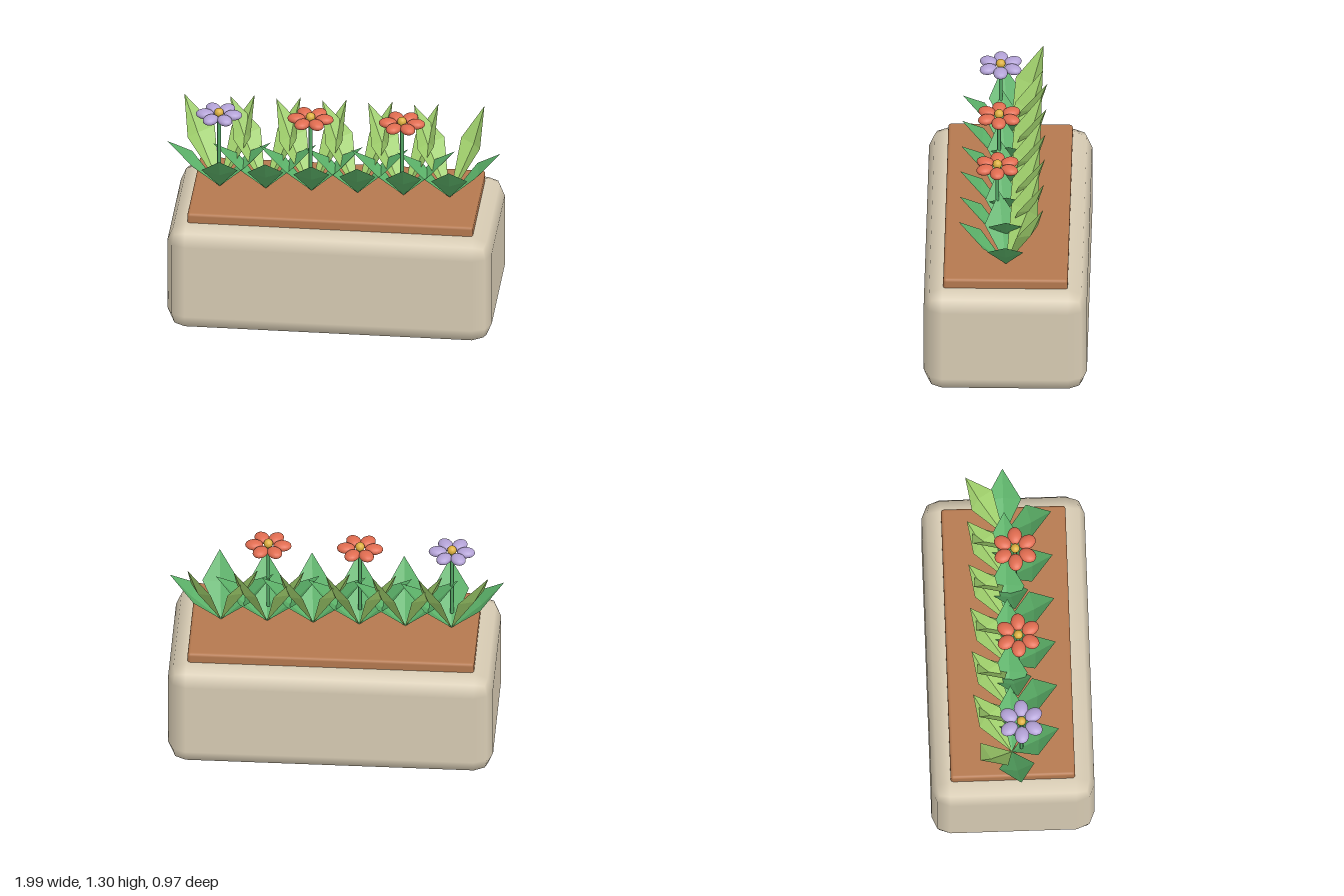
import * as THREE from 'three';
import { RoundedBoxGeometry } from 'three/addons/geometries/RoundedBoxGeometry.js';

const material = (name, color, extra = {}) => {
  const m = new THREE.MeshStandardMaterial({ color, ...extra });
  m.name = name;
  return m;
};

// Folded kite leaf growing from the origin: two side corners, a tip and a keel
function leafGeometry(sideA, sideB, tip, keel) {
  const base = [0, 0, 0];
  const g = new THREE.BufferGeometry();
  const corners = [base, keel, sideA, base, sideB, keel, sideA, keel, tip, keel, sideB, tip];
  g.setAttribute('position', new THREE.Float32BufferAttribute(corners.flat(), 3));
  g.computeVertexNormals();
  return g;
}

// Low leaf spreading outwards towards (tipX, tipZ)
function lowLeaf(tipX, tipZ) {
  const r = Math.hypot(tipX, tipZ), dx = tipX / r, dz = tipZ / r;
  const at = (out, y, across) => [dx * out * r - dz * across, y, dz * out * r + dx * across];
  return leafGeometry(at(0.51, 0.183, 0.107), at(0.51, 0.183, -0.107), at(1, 0.31, 0), at(0.575, 0.158, 0));
}

export function createModel() {
  const model = new THREE.Group();
  model.name = 'flowerPlanter';

  const stone = material('beige stone', 0xd8ccb4);
  const earth = material('brown soil', 0xb5794f);
  const green = material('leaf green', 0x5cb269, { flatShading: true, side: THREE.DoubleSide });
  const lime = material('light leaf green', 0xa0d06c, { flatShading: true, side: THREE.DoubleSide });
  const stemGreen = material('stem green', 0x55a866);
  const purple = material('purple petal', 0xb3a2d6);
  const red = material('coral petal', 0xe06c50);
  const yellow = material('yellow centre', 0xdcb03f);

  const add = (parent, name, geometry, mat, x = 0, y = 0, z = 0) => {
    const mesh = new THREE.Mesh(geometry, mat);
    mesh.name = name;
    mesh.position.set(x, y, z);
    parent.add(mesh);
    return mesh;
  };

  // Planter box and soil
  add(model, 'planterBox', new RoundedBoxGeometry(1.936, 0.685, 0.97, 1, 0.11), stone, 0.008, 0.3425, 0);
  add(model, 'soil', new RoundedBoxGeometry(1.706, 0.125, 0.74, 2, 0.018), earth, 0.008, 0.6825, 0);

  // Leaf clumps
  const frontLeaf = lowLeaf(0.025, 0.28);
  const leftLeaf = lowLeaf(0.305, 0);
  const rightLeaf = lowLeaf(-0.31, 0.045);
  const tallLeft = leafGeometry([0.05, 0.305, -0.19], [0.175, 0.3, -0.065], [0.185, 0.505, -0.225], [0.128, 0.285, -0.15]);
  const tallRight = leafGeometry([-0.195, 0.3, -0.03], [-0.05, 0.305, -0.188], [-0.232, 0.505, -0.195], [-0.145, 0.285, -0.128]);
  for (let i = 0; i < 6; i++) {
    const clump = new THREE.Group();
    clump.name = 'leafClump';
    clump.position.set(-0.688 + i * 0.2745, 0.745, 0);
    add(clump, 'frontLeaf', frontLeaf, green);
    add(clump, 'leftLeaf', leftLeaf, green);
    add(clump, 'rightLeaf', rightLeaf, green);
    add(clump, 'tallLeftLeaf', tallLeft, lime);
    add(clump, 'tallRightLeaf', tallRight, lime);
    model.add(clump);
  }

  // Flowers: stem, six flattened petals and a round centre
  const stem = new THREE.CylinderGeometry(0.011, 0.011, 0.44, 8);
  const petal = new THREE.SphereGeometry(1, 16, 12).scale(0.054, 0.028, 0.043);
  const centre = new THREE.SphereGeometry(0.028, 14, 10);
  [[-0.687, purple], [-0.14, red], [0.406, red]].forEach(([x, petalMaterial]) => {
    const flower = new THREE.Group();
    flower.name = 'flower';
    flower.position.set(x, 0, 0.056);
    add(flower, 'stem', stem, stemGreen, 0, 1.035, 0);
    for (let i = 0; i < 6; i++) {
      const a = (i * Math.PI) / 3;
      const p = add(flower, 'petal', petal, petalMaterial, Math.cos(a) * 0.084, 1.256, Math.sin(a) * 0.084);
      p.rotation.y = -a;
    }
    add(flower, 'flowerCentre', centre, yellow, 0, 1.27, 0);
    model.add(flower);
  });

  return model;
}
